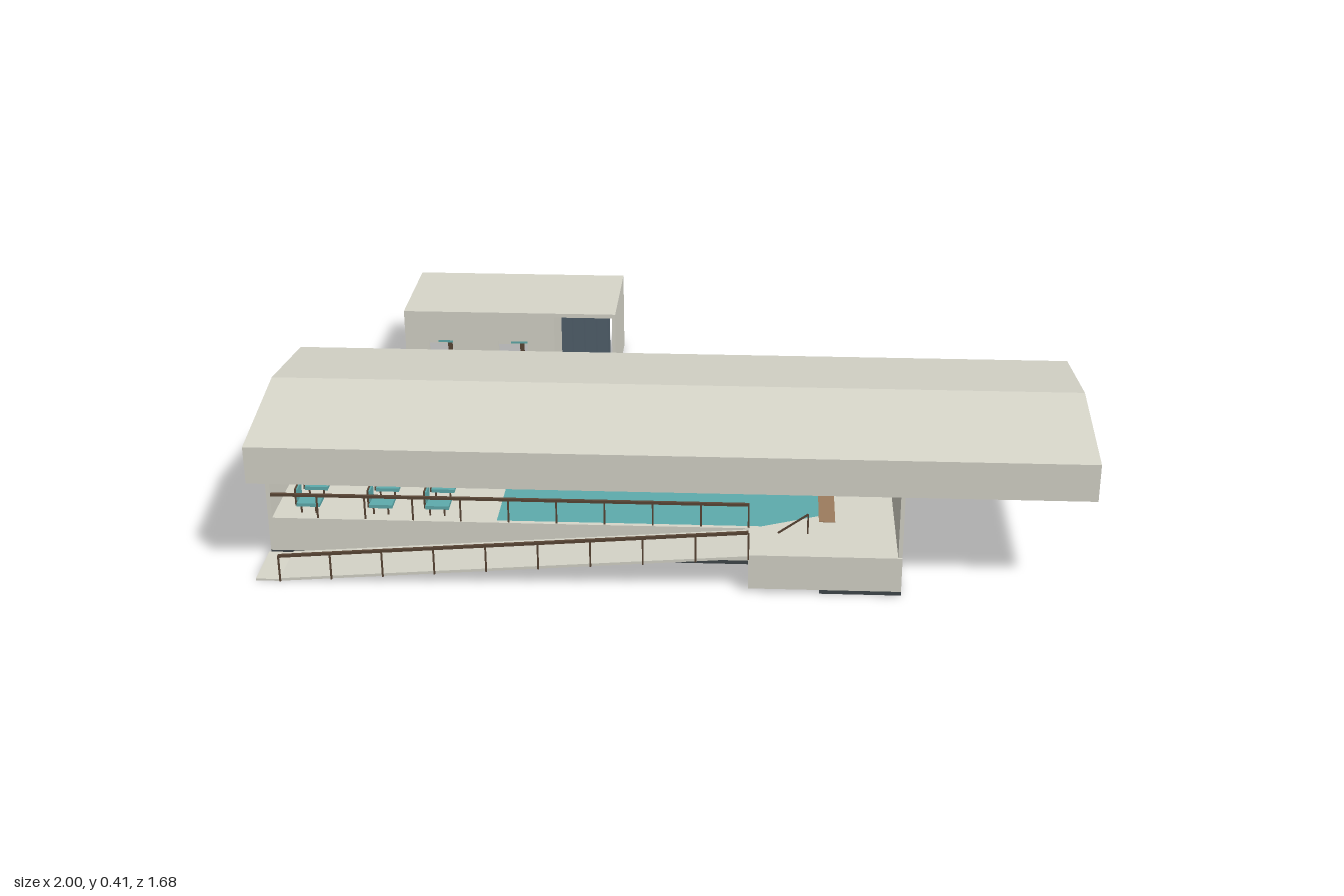
import * as THREE from 'three';

const mat = (name, color) => {
  const m = new THREE.MeshStandardMaterial({ color });
  m.name = name;
  return m;
};

export function createModel() {
  const model = new THREE.Group();
  model.name = 'pavilion';
  const plaster = mat('plaster', 0xd7d6ca);
  const base = mat('charcoal', 0x40474b);
  const wood = mat('wood', 0x9c7c5e);
  const rail = mat('darkWood', 0x5a4636);
  const teal = mat('teal', 0x5eabac);
  const slate = mat('slate', 0x52616d);

  // box given by its lower and upper limits on each axis
  const box = (name, m, x0, x1, y0, y1, z0, z1, parent = model) => {
    const mesh = new THREE.Mesh(new THREE.BoxGeometry(x1 - x0, y1 - y0, z1 - z0), m);
    mesh.position.set((x0 + x1) / 2, (y0 + y1) / 2, (z0 + z1) / 2);
    mesh.name = name;
    parent.add(mesh);
  };
  // bar between two points lying in one plane of constant z
  const bar = (name, m, xa, ya, xb, yb, z, t, depth = t) => {
    const mesh = new THREE.Mesh(new THREE.BoxGeometry(Math.hypot(xb - xa, yb - ya), t, depth), m);
    mesh.position.set((xa + xb) / 2, (ya + yb) / 2, z);
    mesh.rotation.z = Math.atan2(yb - ya, xb - xa);
    mesh.name = name;
    model.add(mesh);
  };
  const outline = (points) => new THREE.Shape(points.map(([a, b]) => new THREE.Vector2(a, b)));
  // shape of (z, y) points extruded along x
  const prism = (name, m, points, x0, x1) => {
    const shape = outline(points.map(([z, y]) => [-z, y]));
    const geo = new THREE.ExtrudeGeometry(shape, { depth: x1 - x0, bevelEnabled: false });
    geo.rotateY(Math.PI / 2);
    const mesh = new THREE.Mesh(geo, m);
    mesh.position.x = x0;
    mesh.name = name;
    model.add(mesh);
  };

  // roof shell with deep fascias and closed gables
  const outer = [[0.235, 0.265], [0.235, 0.36], [0.535, 0.405], [0.84, 0.36], [0.84, 0.265]];
  const inner = [[0.832, 0.265], [0.832, 0.351], [0.535, 0.396], [0.243, 0.351], [0.243, 0.265]];
  prism('roof', plaster, [...outer, ...inner], -0.992, 0.992);
  prism('gableRight', plaster, outer, -1, -0.992);
  prism('gableLeft', plaster, outer, 0.992, 1);

  // raised floor and walls
  box('baseSlab', base, -0.995, 0.555, 0, 0.01, 0.24, 0.7);
  box('deck', plaster, -0.995, 0.555, 0.01, 0.1, 0.24, 0.7);
  box('landingBase', base, 0.36, 0.555, 0, 0.01, 0.7, 0.835);
  box('landing', plaster, 0.19, 0.555, 0.01, 0.1, 0.7, 0.835);
  box('backWallLower', plaster, -0.995, 0.555, 0.1, 0.158, 0.24, 0.254);
  box('backWallUpper', plaster, -0.995, 0.555, 0.1, 0.355, 0.254, 0.262);
  box('endWallRight', plaster, -0.995, -0.985, 0.1, 0.355, 0.262, 0.7);
  box('endWallLeft', plaster, 0.545, 0.555, 0.1, 0.355, 0.262, 0.831);

  // blue floor panel with one cut corner, and a timber strip beside it
  const panel = new THREE.Mesh(new THREE.ShapeGeometry(outline(
    [[-0.43, -0.69], [0.22, -0.69], [0.36, -0.63], [0.36, -0.3], [-0.43, -0.3]])), teal);
  panel.rotation.x = -Math.PI / 2;
  panel.position.y = 0.101;
  panel.name = 'floorPanel';
  model.add(panel);
  box('floorStrip', wood, 0.36, 0.4, 0.1, 0.1015, 0.5, 0.66);

  // posts along the back, shown inside and above the lower wall
  for (const x of [-0.5, 0, 0.5]) {
    box('innerPost', wood, x - 0.009, x + 0.009, 0.1, 0.35, 0.262, 0.275);
    box('outerPost', x === 0 ? rail : wood, x - 0.005, x + 0.005, 0.158, 0.35, 0.244, 0.254);
  }
  for (const x of [-0.992, 0.992]) box('cornerPost', wood, x - 0.008, x + 0.008, 0, 0.35, 0.236, 0.255);

  // ramp and its railing
  box('rampApron', plaster, -1, -0.94, 0, 0.005, 0.7, 0.835);
  bar('ramp', plaster, -0.94, 0.004, 0.19, 0.094, 0.768, 0.007, 0.134);
  bar('rampRail', rail, -0.94, 0.07, 0.19, 0.162, 0.837, 0.007);
  bar('deckRail', rail, -0.99, 0.162, 0.19, 0.162, 0.695, 0.007);
  for (let i = 0; i <= 9; i++) {
    const x = -0.94 + (i * 1.13) / 9;
    const y = (i * 0.09) / 9;
    box('rampRailPost', rail, x - 0.002, x + 0.002, y, y + 0.07, 0.835, 0.839);
    const xd = -0.99 + (i * 1.18) / 10;
    box('deckRailPost', rail, xd - 0.002, xd + 0.002, 0.1, 0.162, 0.693, 0.697);
  }
  box('landingPost', rail, 0.186, 0.19, 0.09, 0.165, 0.693, 0.697);

  // short sloped handrail on the landing
  bar('stepRail', rail, 0.26, 0.1, 0.332, 0.152, 0.72, 0.004);
  box('stepRailPost', rail, 0.33, 0.334, 0.1, 0.152, 0.718, 0.722);

  // chairs: dir = +1 faces +x
  const chair = (x, z, dir) => {
    const g = new THREE.Group();
    g.name = 'chair';
    box('seat', teal, -0.028, 0.03, 0.02, 0.029, -0.026, 0.026, g);
    box('chairBack', rail, -0.032, -0.028, 0.02, 0.066, -0.022, 0.022, g);
    box('backPad', teal, -0.028, -0.024, 0.034, 0.064, -0.02, 0.02, g);
    for (const lx of [-0.02, 0.016])
      for (const lz of [-0.02, 0.016]) box('chairLeg', rail, lx, lx + 0.004, 0, 0.02, lz, lz + 0.004, g);
    g.position.set(x, 0.1, z);
    if (dir < 0) g.rotation.y = Math.PI;
    model.add(g);
  };
  for (const x of [-0.9, -0.72, -0.58])
    for (const z of [0.38, 0.47, 0.56, 0.65]) chair(x, z, 1);
  chair(0.51, 0.5, -1);
  box('sideCabinet', wood, -0.93, -0.8, 0.1, 0.165, 0.28, 0.34);

  // outbuilding: front wall with two doorways
  const front = outline([[-0.84, 0], [-0.77, 0], [-0.77, 0.14], [-0.7, 0.14], [-0.7, 0],
    [-0.565, 0], [-0.565, 0.14], [-0.48, 0.14], [-0.48, 0], [-0.4, 0], [-0.4, 0.22], [-0.84, 0.22]]);
  const frontWall = new THREE.Mesh(new THREE.ExtrudeGeometry(front, { depth: 0.01, bevelEnabled: false }), plaster);
  frontWall.name = 'outbuildingFront';
  frontWall.position.z = -0.36;
  model.add(frontWall);
  box('outbuildingRoof', plaster, -0.84, -0.22, 0.218, 0.23, -0.67, -0.35);
  box('outbuildingBack', plaster, -0.84, -0.4, 0, 0.218, -0.67, -0.66);
  for (const x of [-0.84, -0.64, -0.41])
    box('outbuildingPartition', plaster, x, x + 0.01, 0, 0.218, -0.66, -0.36);
  box('outbuildingEndWall', plaster, -0.23, -0.22, 0, 0.218, -0.67, -0.35);

  // lockers in the open passage, basins in the rooms
  for (let i = 0; i < 4; i++)
    box('locker', slate, -0.395 + i * 0.036, -0.364 + i * 0.036, 0.01, 0.17, -0.58, -0.5);
  for (const x of [-0.74, -0.52]) {
    box('basin', teal, x - 0.03, x + 0.03, 0.07, 0.08, -0.56, -0.5);
    box('basinStand', rail, x - 0.006, x + 0.006, 0, 0.07, -0.536, -0.524);
  }

  // storage box behind
  box('storageBox', wood, -0.66, -0.54, 0, 0.065, -0.84, -0.75);
  return model;
}
